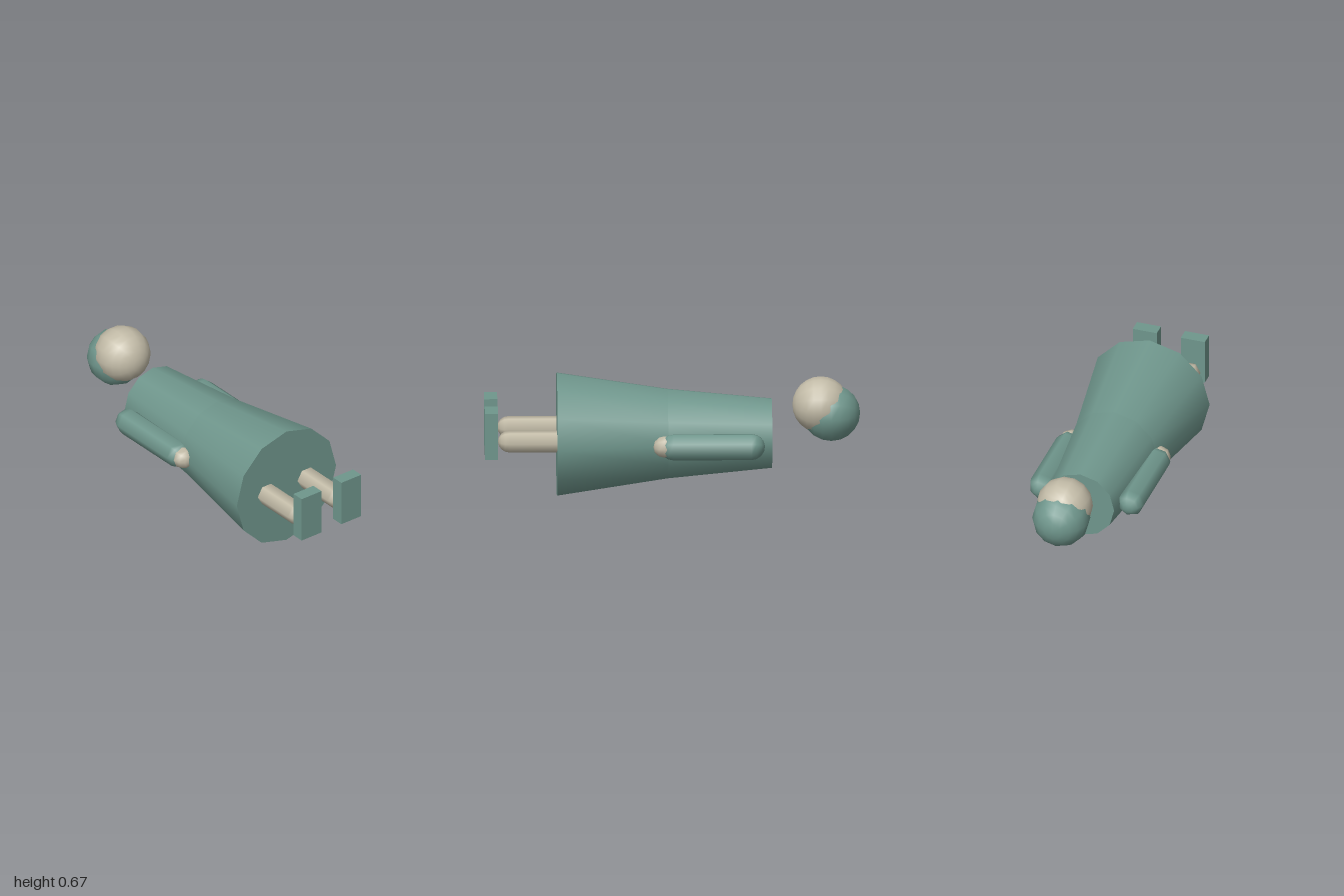
import * as THREE from 'three';

const cloth = new THREE.MeshStandardMaterial({ color: 0x6f968c });
const skin = new THREE.MeshStandardMaterial({ color: 0xc2bba7 });

export function createModel() {
  const model = new THREE.Group();
  model.name = 'lyingFigure';

  // The figure is built standing, centred on its own axis, then laid on its back
  const figure = new THREE.Group();
  figure.name = 'figure';
  figure.rotation.x = -Math.PI / 2;
  figure.position.y = 0.338;
  model.add(figure);

  const add = (name, geometry, material, x, y, z) => {
    const mesh = new THREE.Mesh(geometry, material);
    mesh.name = name;
    mesh.position.set(x, y, z);
    figure.add(mesh);
    return mesh;
  };

  // Dress: flared skirt below a tapered bodice
  add('skirt', new THREE.CylinderGeometry(0.238, 0.337, 0.635, 12), cloth, 0, -0.2975, 0);
  add('bodice', new THREE.CylinderGeometry(0.19, 0.245, 0.555, 12), cloth, 0, 0.2525, 0);

  // Head with a hair ball set up and back
  add('head', new THREE.SphereGeometry(0.151, 14, 12), skin, 0, 0.79, 0.157);
  add('hair', new THREE.SphereGeometry(0.155, 12, 10), cloth, 0, 0.845, 0.112);

  // Paired limbs
  for (const [side, s] of [['left', 1], ['right', -1]]) {
    add(side + 'Sleeve', new THREE.CapsuleGeometry(0.072, 0.416, 4, 7), cloth, s * 0.25, 0.21, 0);
    add(side + 'Hand', new THREE.SphereGeometry(0.06, 8, 6), skin, s * 0.25, -0.045, 0);
    add(side + 'Leg', new THREE.CapsuleGeometry(0.06, 0.4, 4, 6), skin, s * 0.135, -0.67, 0);
    add(side + 'Shoe', new THREE.BoxGeometry(0.135, 0.07, 0.257), cloth, s * 0.135, -0.965, 0.046);
  }
  return model;
}
